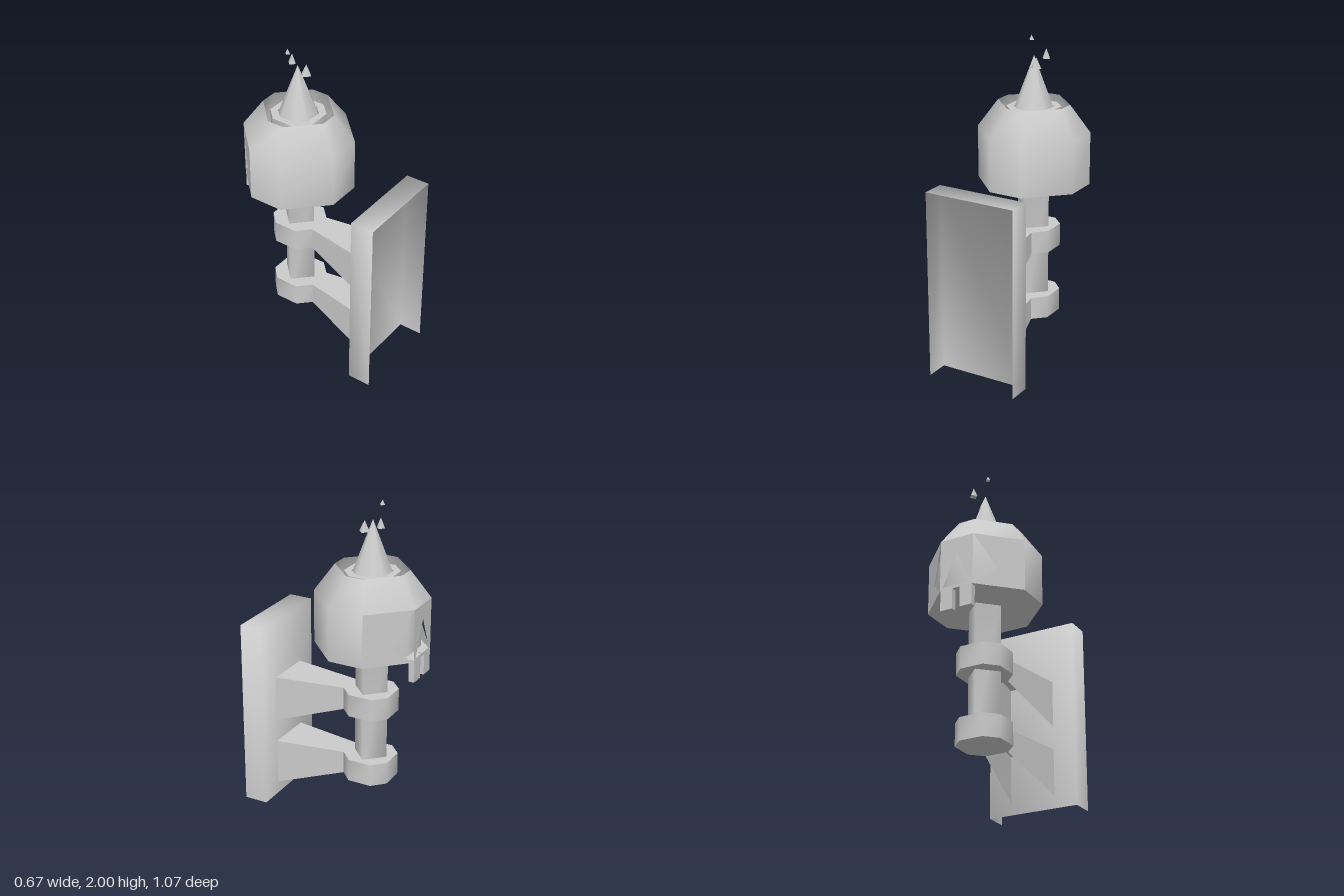
import * as THREE from 'three';
import { mergeVertices, toCreasedNormals } from 'three/addons/utils/BufferGeometryUtils.js';

const material = new THREE.MeshStandardMaterial({ color: 0xcccccc, side: THREE.DoubleSide });

function mesh(name, geometry, parent) {
  const m = new THREE.Mesh(geometry, material);
  m.name = name;
  parent.add(m);
  return m;
}

function surface(points, index, crease) {
  const g = new THREE.BufferGeometry();
  g.setAttribute('position', new THREE.Float32BufferAttribute(points.flat(), 3));
  g.setIndex(index);
  const merged = mergeVertices(g, 1e-4);
  merged.computeVertexNormals();
  return toCreasedNormals(merged, crease);
}

// Square with cut corners, run up a profile of [y, half width, corner half width].
function loft(profile, crease = 1.2, skip = () => false) {
  const points = [], index = [];
  for (const [y, h, c] of profile) {
    for (const [x, z] of [[c, h], [h, c], [h, -c], [c, -h], [-c, -h], [-h, -c], [-h, c], [-c, h]]) points.push([x, y, z]);
  }
  for (let r = 0; r < profile.length - 1; r++) {
    for (let k = 0; k < 8; k++) {
      if (skip(r, k)) continue;
      const a = r * 8 + k, b = r * 8 + (k + 1) % 8;
      index.push(a, b, b + 8, a, b + 8, a + 8);
    }
  }
  return surface(points, index, crease);
}

function quads(corners, faces, crease) {
  return surface(corners, faces.flatMap(([a, b, c, d]) => [a, b, c, a, c, d]), crease);
}

function shapeOf(points) {
  return new THREE.Shape(points.map(([x, y]) => new THREE.Vector2(x, y)));
}

export function createModel() {
  const model = new THREE.Group();
  model.name = 'wallTorch';

  // Wall plate: open towards the wall and at the bottom
  const [w, t, n, f] = [0.295, 1.19, 0.39, 0.54];
  mesh('wallPlate', quads(
    [[-w, 0, n], [w, 0, n], [w, t, n], [-w, t, n], [-w, 0, f], [w, 0, f], [w, t, f], [-w, t, f]],
    [[1, 0, 3, 2], [1, 2, 6, 5], [4, 7, 3, 0], [3, 7, 6, 2]], 1.7), model);

  // Everything on the post's axis
  const torch = new THREE.Group();
  torch.name = 'torch';
  torch.position.z = -0.2;
  model.add(torch);

  mesh('post', loft([[0.24, 0.11, 0], [1.14, 0.11, 0]], 1.7), torch);

  // Two brackets: a tapering arm with an open underside, and a collar
  for (const y of [0.23, 0.672]) {
    const bracket = new THREE.Group();
    bracket.name = 'bracket';
    bracket.position.y = y;
    torch.add(bracket);
    mesh('collar', loft([[0, 0, 0], [0, 0.15, 0.075], [0.143, 0.15, 0.075], [0.143, 0, 0]]), bracket);
    const [p, q, zp, zc] = [0.147, 0.075, 0.59, 0.15];
    mesh('arm', quads(
      [[-p, -0.15, zp], [p, -0.15, zp], [p, 0.143, zp], [-p, 0.143, zp],
        [-q, 0, zc], [q, 0, zc], [q, 0.143, zc], [-q, 0.143, zc]],
      [[3, 2, 6, 7], [1, 5, 6, 2], [0, 3, 7, 4]], 1.2), bracket);
  }

  // Hollow head with a face cut into its back
  const head = new THREE.Group();
  head.name = 'head';
  torch.add(head);
  const R = 0.333, C = 0.11, low = 1.1, brow = 1.43;
  mesh('headShell', loft(
    [[low, 0, 0], [low, R, C], [brow, R, C], [1.6, 0.22, 0.055]], 1.2,
    (r, k) => r === 1 && k >= 2 && k <= 4), head);
  mesh('headLining', loft(
    [[1.6, 0.22, 0.055], [brow, 0.28, 0.093], [1.12, 0.28, 0.093], [1.12, 0, 0]]), head);

  // Nose panel
  const nose = shapeOf([[-C, low], [C, low], [C, brow], [-C, brow]]);
  nose.holes.push(shapeOf([[-0.09, 1.12], [0, 1.335], [0.09, 1.12]]));
  const nosePanel = mesh('nosePanel', new THREE.ShapeGeometry(nose), head);
  nosePanel.rotation.y = Math.PI;
  nosePanel.position.z = -R;

  // Eye panels and teeth, mirrored
  const e = (R - C) / Math.SQRT2, mid = (R + C) / 2;
  const eyeShape = shapeOf([[-e, low], [e, low], [0, 1.21], [e, brow], [-e, brow]]);
  for (const side of [1, -1]) {
    const half = new THREE.Group();
    half.name = side > 0 ? 'leftFace' : 'rightFace';
    half.scale.x = side;
    head.add(half);
    const eye = mesh('eyePanel', new THREE.ShapeGeometry(eyeShape), half);
    eye.rotation.y = Math.PI * 0.75;
    eye.position.set(mid, 0, -mid);
    const tooth = mesh('tooth', new THREE.BoxGeometry(0.08, 0.14, 0.037), half);
    tooth.position.set(0.065, 1.04, -0.316);
  }

  // Fire cup and flame
  mesh('fireCup', loft(
    [[1.12, 0.15, 0.075], [1.575, 0.15, 0.075], [1.575, 0.11, 0.055], [1.55, 0.11, 0.055], [1.55, 0, 0]]), torch);
  mesh('flame', loft([[1.55, 0.112, 0.056], [1.89, 0, 0]]), torch);

  // Sparks: x, bottom y, z, radius, height
  for (const [x, y, z, r, h] of [
    [-0.04, 1.97, -0.04, 0.017, 0.03],
    [0.043, 1.86, -0.073, 0.027, 0.062],
    [0.036, 1.82, 0.035, 0.035, 0.068],
  ]) {
    const spark = mesh('spark', new THREE.ConeGeometry(r, h, 4), torch);
    spark.position.set(x, y + h / 2, z);
  }
  return model;
}
